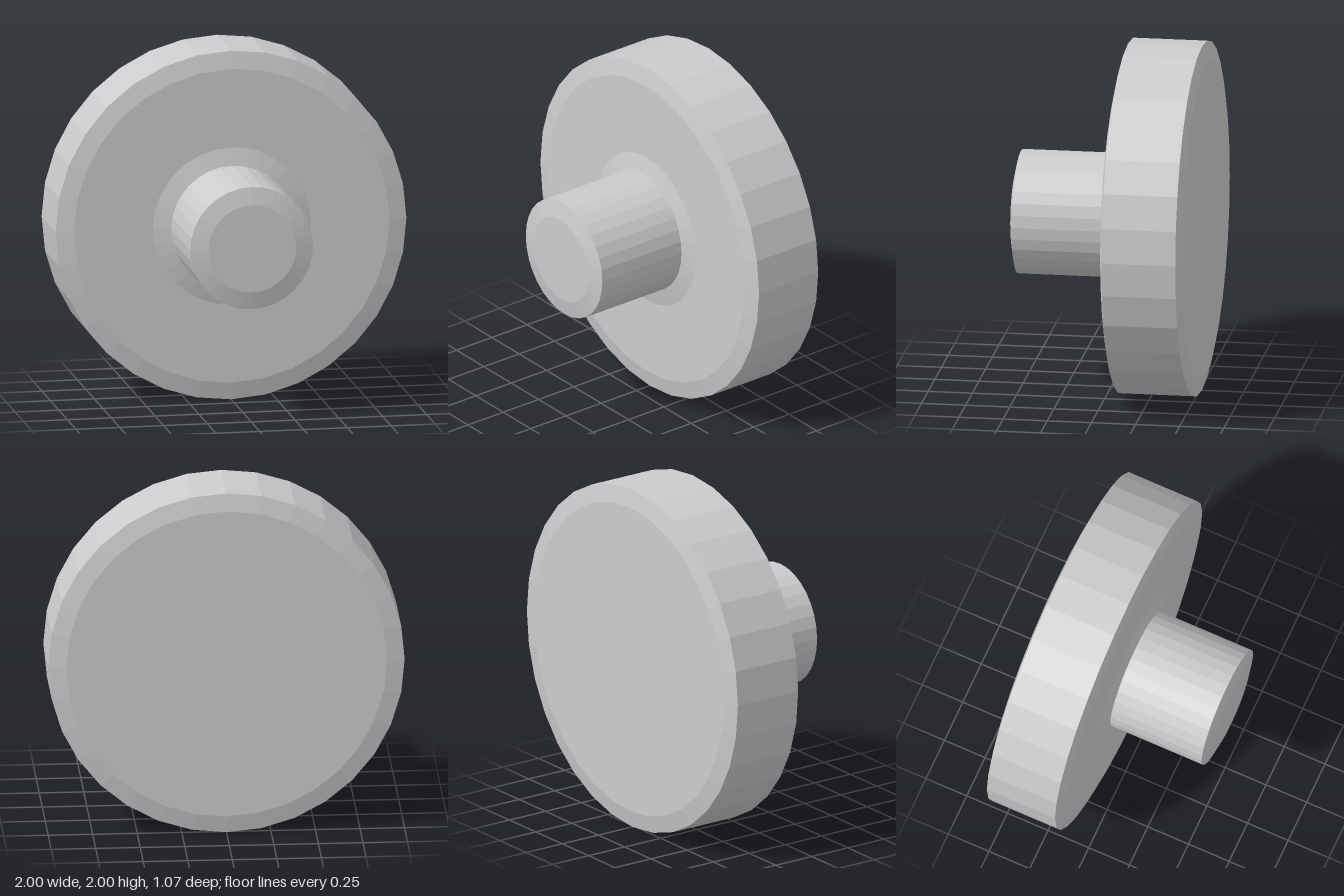
import * as THREE from 'three';

const SIDES = 32;

// Turns a [radius, z] profile, listed back to front, around the z axis.
function turned(name, profile, material) {
  const points = profile.map(([r, z]) => new THREE.Vector2(r, z));
  const geometry = new THREE.LatheGeometry(points, SIDES);
  geometry.rotateX(Math.PI / 2);
  const mesh = new THREE.Mesh(geometry, material);
  mesh.name = name;
  return mesh;
}

export function createModel() {
  const model = new THREE.Group();
  model.name = 'knob';
  const material = new THREE.MeshStandardMaterial({ color: 0xcccccc, flatShading: true });

  // Wide disc with shallow bevels on both faces
  model.add(turned('disc', [
    [0, -0.535], [0.9, -0.535], [1, -0.513], [1, -0.094], [0.9, -0.072], [0.45, -0.072],
  ], material));

  // Sloped collar where the stem meets the disc
  model.add(turned('collar', [[0.45, -0.072], [0.35, -0.048]], material));

  // Stem with a bevelled end
  model.add(turned('stem', [
    [0.35, -0.048], [0.35, 0.513], [0.25, 0.535], [0, 0.535],
  ], material));

  model.position.y = 1;
  return model;
}
